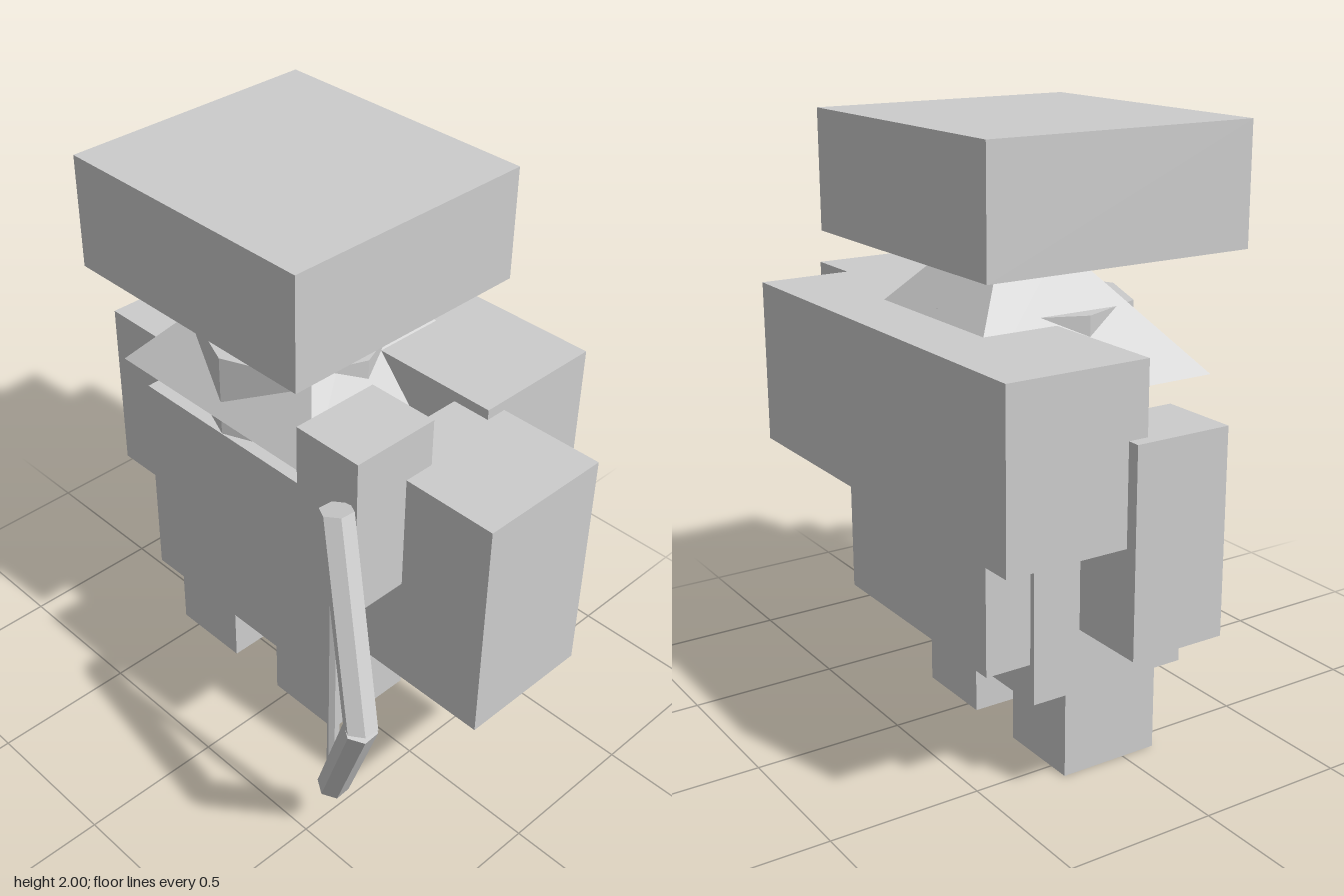
import * as THREE from 'three';

export function createModel() {
  const group = new THREE.Group();
  const grey = new THREE.MeshStandardMaterial({ color: 0xcccccc, flatShading: true });
  grey.name = 'plain grey';

  const add = (name, geometry, x, y, z) => {
    const mesh = new THREE.Mesh(geometry, grey);
    mesh.name = name;
    mesh.position.set(x, y, z);
    group.add(mesh);
    return mesh;
  };

  // Box given by its extents along each axis
  const box = (name, [x0, x1], [y0, y1], [z0, z1]) =>
    add(name, new THREE.BoxGeometry(x1 - x0, y1 - y0, z1 - z0),
      (x0 + x1) / 2, (y0 + y1) / 2, (z0 + z1) / 2);

  // Body and limbs
  box('torso', [-0.61, 0.28], [0.3, 1.09], [-0.365, 0.19]);
  box('rightLeg', [-0.575, -0.28], [0, 0.3], [-0.225, 0.12]);
  box('leftLeg', [-0.055, 0.24], [0, 0.3], [-0.225, 0.12]);
  box('rightArm', [-0.94, -0.68], [0.545, 1.19], [-0.25, 0.07]);
  box('leftUpperArm', [0.355, 0.61], [0.545, 1.19], [-0.25, 0.07]);
  box('leftForearm', [0.365, 0.61], [0.985, 1.54], [0.1, 0.405]);
  box('shoulderGuard', [0.44, 0.935], [0.6, 1.38], [-0.26, 0.205]);

  // Packs on the back
  box('upperPack', [-0.9, 0.575], [0.875, 1.415], [-0.65, -0.185]);
  box('lowerPack', [-0.59, 0.24], [0.425, 0.9], [-0.52, -0.34]);

  // Head, with a four-sided hood and an eight-sided collar below it
  box('head', [-0.655, 0.325], [1.615, 2], [-0.55, 0.37]);
  const hood = new THREE.CylinderGeometry(0.115 * Math.SQRT2, 0.4525 * Math.SQRT2, 0.38, 4);
  hood.rotateY(Math.PI / 4);
  hood.scale(1, 1, 0.955);
  add('hood', hood, -0.167, 1.425, -0.16);
  add('collar', new THREE.CylinderGeometry(0.33, 0.33, 0.29, 8), -0.165, 1.295, -0.09);

  // Bow limb: a six-sided bar sheared from the grip out to its tip
  const limb = (name, side) => {
    const geometry = new THREE.CylinderGeometry(0.052, 0.052, 0.57, 6);
    const p = geometry.attributes.position;
    for (let i = 0; i < p.count; i++) {
      const x = p.getX(i), y = p.getY(i), z = p.getZ(i);
      const t = 0.5 + side * y / 0.57;
      p.setXYZ(i, x - 0.255 * t, y + side * 0.2 * (0.87 * x + 0.5 * z), z - 0.145 * t);
    }
    geometry.computeVertexNormals();
    add(name, geometry, 0.83, 0.818 + side * 0.286, 0.595);
  };
  limb('upperBowLimb', 1);
  limb('lowerBowLimb', -1);
  add('bowString', new THREE.CylinderGeometry(0.02, 0.02, 1.1, 6), 0.577, 0.818, 0.455);

  return group;
}
